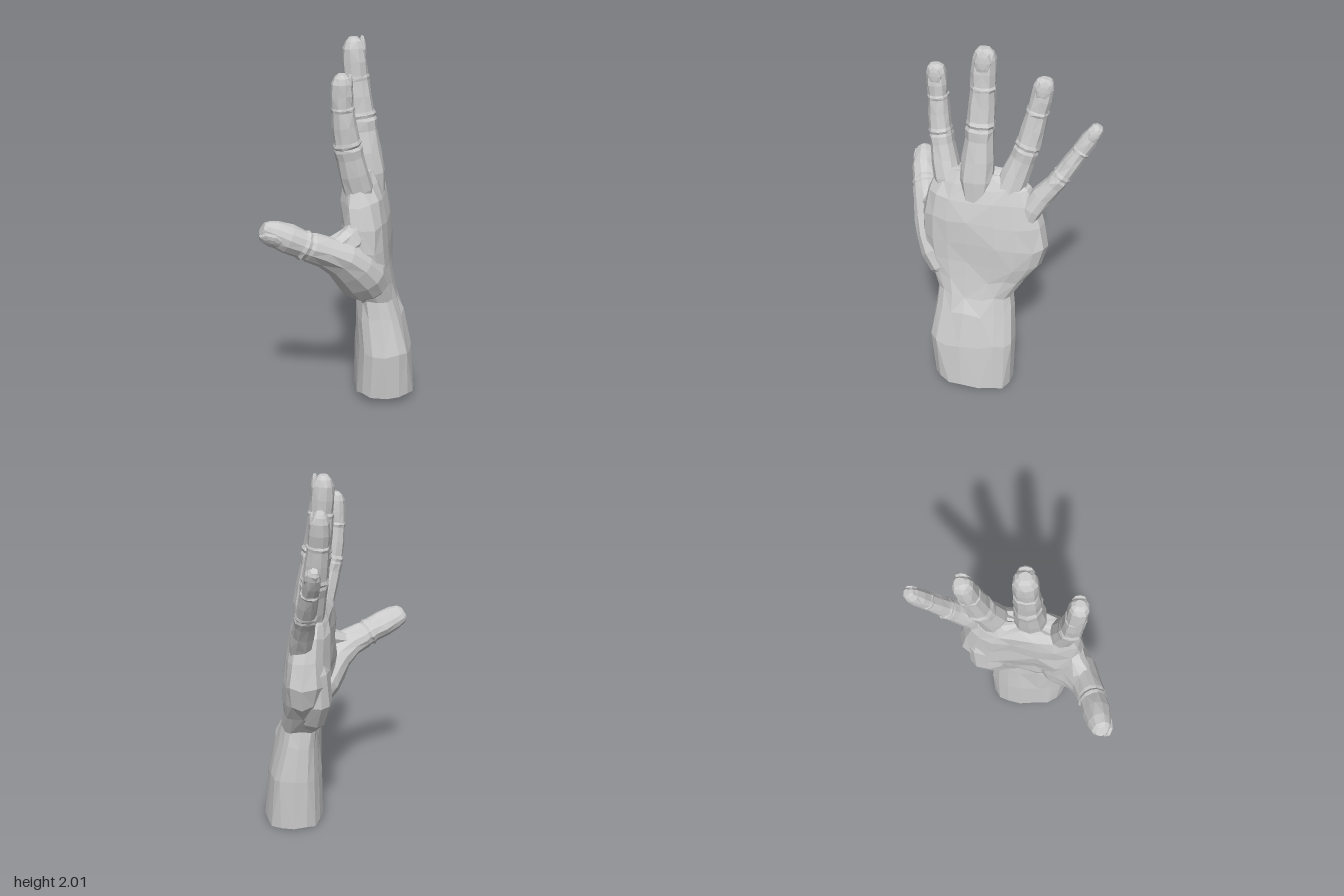
import * as THREE from 'three';

const V = (x, y, z) => new THREE.Vector3(x, y, z);
const skin = new THREE.MeshStandardMaterial({ color: 0xcccccc, flatShading: true });

// Small seeded generator for the carved, uneven facets
let seed = 7;
const jitter = (s) => {
  seed = (seed * 16807) % 2147483647;
  return (seed / 2147483647 - 0.5) * 2 * s;
};

// Closed skin over a list of rings (each an array of points), capped at both ends
function loft(rings, name) {
  const n = rings[0].length, pos = [], idx = [];
  rings.forEach((r) => r.forEach((p) => pos.push(p.x, p.y, p.z)));
  for (let i = 0; i < rings.length - 1; i++) {
    for (let j = 0; j < n; j++) {
      const k = (j + 1) % n, a = i * n + j, b = i * n + k;
      if ((i + j) % 2) idx.push(a, b, b + n, a, b + n, a + n);
      else idx.push(a, b, a + n, b, b + n, a + n);
    }
  }
  [0, rings.length - 1].forEach((i, end) => {
    const c = rings[i].reduce((s, p) => s.add(p), V(0, 0, 0)).divideScalar(n);
    const m = pos.length / 3;
    pos.push(c.x, c.y, c.z);
    for (let j = 0; j < n; j++) {
      const a = i * n + j, b = i * n + (j + 1) % n;
      if (end) idx.push(m, a, b); else idx.push(m, b, a);
    }
  });
  const g = new THREE.BufferGeometry();
  g.setAttribute('position', new THREE.Float32BufferAttribute(pos, 3));
  g.setIndex(idx);
  g.computeVertexNormals();
  const mesh = new THREE.Mesh(g, skin);
  mesh.name = name;
  return mesh;
}

const power = (v, e) => Math.sign(v) * Math.abs(v) ** e;

// Forearm, wrist and palm: y, zMin, zMax, xPalm, xBack, palm hollow, skew
function makePalm() {
  const sections = [
    [0.0, -0.12, 0.33, 0.08, 0.42, 0, 0],
    [0.3, -0.13, 0.355, 0.09, 0.4, 0, 0],
    [0.5, -0.12, 0.32, 0.09, 0.35, 0.01, 0],
    [0.6, -0.11, 0.31, 0.09, 0.315, 0.02, 0],
    [0.7, -0.19, 0.35, 0.05, 0.3, 0.05, -0.05],
    [0.8, -0.26, 0.385, 0.03, 0.295, 0.07, -0.08],
    [0.92, -0.295, 0.405, 0.01, 0.29, 0.07, -0.1],
    [1.05, -0.27, 0.4, 0.01, 0.275, 0.05, -0.1],
    [1.17, -0.235, 0.375, 0.015, 0.25, 0.02, -0.1],
    [1.25, -0.19, 0.33, 0.03, 0.22, 0, -0.1],
    [1.31, -0.11, 0.27, 0.06, 0.18, 0, -0.08],
  ];
  const n = 18;
  const rings = sections.map(([y, z0, z1, x0, x1, dent, skew], i) => {
    const ring = [];
    for (let j = 0; j < n; j++) {
      const a = (j / n) * Math.PI * 2;
      const dz = power(Math.cos(a), 0.85) * (z1 - z0) / 2;
      const z = (z0 + z1) / 2 + dz;
      let x = (x0 + x1) / 2 + power(Math.sin(a), 0.7) * (x1 - x0) / 2 + skew * dz;
      if (Math.sin(a) < -0.1) x += dent * Math.exp(-(((z - 0.06) / 0.08) ** 2));
      const base = i === 0 ? Math.max(0, ((z + 0.12) / 0.45) * 0.05 + jitter(0.012)) : jitter(0.015);
      ring.push(V(x + jitter(0.008), y + base, z));
    }
    return ring;
  });
  return loft(rings, 'forearmAndPalm');
}

// Digit along a curve; stations are [t, half width, half thickness]
function makeDigit(name, points, stations, back, nail, sides = 10) {
  const group = new THREE.Group();
  group.name = name;
  const curve = new THREE.CatmullRomCurve3(points.map((p) => V(...p)), false, 'centripetal');
  const frame = (t) => {
    const c = curve.getPoint(t), d = curve.getTangent(t);
    const v = back.clone().addScaledVector(d, -back.dot(d)).normalize();
    return { c, d, v, u: V(0, 0, 0).crossVectors(v, d) };
  };
  const rings = stations.map(([t, w, h]) => {
    const { c, u, v } = frame(t);
    return Array.from({ length: sides }, (_, j) => {
      const a = ((j + 0.5) / sides) * Math.PI * 2;
      return c.clone()
        .addScaledVector(u, power(Math.cos(a), 0.85) * w + jitter(0.003))
        .addScaledVector(v, power(Math.sin(a), 0.85) * h + jitter(0.003));
    });
  });
  group.add(loft(rings, name + 'Flesh'));

  // Fingernail: a flattened dome set into the back of the tip
  if (nail) {
    const { c, d, v, u } = frame(nail.t);
    const m = new THREE.Mesh(new THREE.SphereGeometry(1, 8, 6), skin);
    m.name = name + 'Nail';
    m.quaternion.setFromRotationMatrix(new THREE.Matrix4().makeBasis(u, v, d));
    m.scale.set(nail.w * 0.72, nail.w * 0.3, nail.w * 1.15);
    m.position.copy(c).addScaledVector(v, nail.h * 0.8);
    group.add(m);
  }
  return group;
}

// Finger from tendon through knuckle, two joints and tip (equal quarters of t)
function makeFinger(name, pts, w, h) {
  const s = (t, a, b = a) => [t, w * a, h * b];
  const stations = [
    s(0, 0.3, 0.25), s(0.13, 0.6, 0.6), s(0.25, 1.08, 1.08), s(0.34, 1.05, 1.02), s(0.43, 0.9, 0.95),
    s(0.475, 0.92, 1), s(0.49, 0.86, 0.92), s(0.505, 0.94, 1.02), s(0.525, 0.86, 0.9),
    s(0.62, 0.85, 0.86), s(0.72, 0.78, 0.8), s(0.74, 0.83, 0.84), s(0.755, 0.76, 0.77),
    s(0.84, 0.78, 0.76), s(0.93, 0.74, 0.68), s(0.975, 0.6, 0.5), s(1, 0.36, 0.28),
  ];
  return makeDigit(name, pts, stations, V(1, 0, 0), { t: 0.92, w: w * 0.74, h: h * 0.7 });
}

export function createModel() {
  const hand = new THREE.Group();
  hand.name = 'hand';
  hand.add(makePalm());

  hand.add(makeFinger('indexFinger',
    [[0.2, 0.92, 0.2], [0.095, 1.24, 0.265], [0.035, 1.49, 0.31], [0.01, 1.69, 0.325], [0.005, 1.86, 0.335]], 0.068, 0.075));
  hand.add(makeFinger('middleFinger',
    [[0.24, 0.88, 0.1], [0.155, 1.28, 0.1], [0.11, 1.59, 0.083], [0.085, 1.8, 0.073], [0.07, 2.0, 0.066]], 0.084, 0.085));
  hand.add(makeFinger('ringFinger',
    [[0.24, 0.88, 0], [0.155, 1.22, -0.075], [0.12, 1.49, -0.167], [0.1, 1.69, -0.212], [0.088, 1.865, -0.25]], 0.074, 0.075));
  hand.add(makeFinger('littleFinger',
    [[0.24, 0.86, -0.12], [0.195, 1.15, -0.205], [0.165, 1.35, -0.35], [0.14, 1.5, -0.445], [0.12, 1.635, -0.53]], 0.055, 0.06));

  // Thumb growing out of the ball of the palm
  hand.add(makeDigit('thumb',
    [[0.18, 0.64, 0.22], [0.11, 0.77, 0.3], [0, 0.9, 0.385], [-0.19, 1.0, 0.46], [-0.4, 1.105, 0.505]],
    [
      [0, 0.06, 0.06], [0.12, 0.12, 0.11], [0.25, 0.14, 0.115], [0.38, 0.13, 0.105], [0.5, 0.108, 0.09],
      [0.62, 0.082, 0.077], [0.71, 0.076, 0.075], [0.73, 0.07, 0.07], [0.75, 0.079, 0.077], [0.77, 0.071, 0.07],
      [0.85, 0.076, 0.072], [0.93, 0.068, 0.06], [0.98, 0.053, 0.045], [1, 0.036, 0.028],
    ],
    V(-0.1, -0.55, 0.85), { t: 0.93, w: 0.068, h: 0.06 }, 12));

  // Web of skin between thumb and index finger
  hand.add(makeDigit('thumbWeb',
    [[0.13, 1.12, 0.33], [0.07, 1.0, 0.355], [-0.03, 0.95, 0.4], [-0.12, 0.965, 0.43]],
    [[0, 0.04, 0.04], [0.35, 0.075, 0.055], [0.7, 0.07, 0.06], [1, 0.04, 0.05]],
    V(0, 0, 1), null, 8));

  // Fleshy pad on the little-finger side of the palm
  hand.add(makeDigit('heelPad',
    [[0.17, 0.62, -0.05], [0.13, 0.75, -0.11], [0.12, 0.93, -0.14], [0.14, 1.1, -0.14]],
    [[0, 0.05, 0.05], [0.2, 0.09, 0.085], [0.45, 0.115, 0.095], [0.75, 0.1, 0.08], [1, 0.06, 0.05]],
    V(1, 0, 0), null, 10));

  return hand;
}
